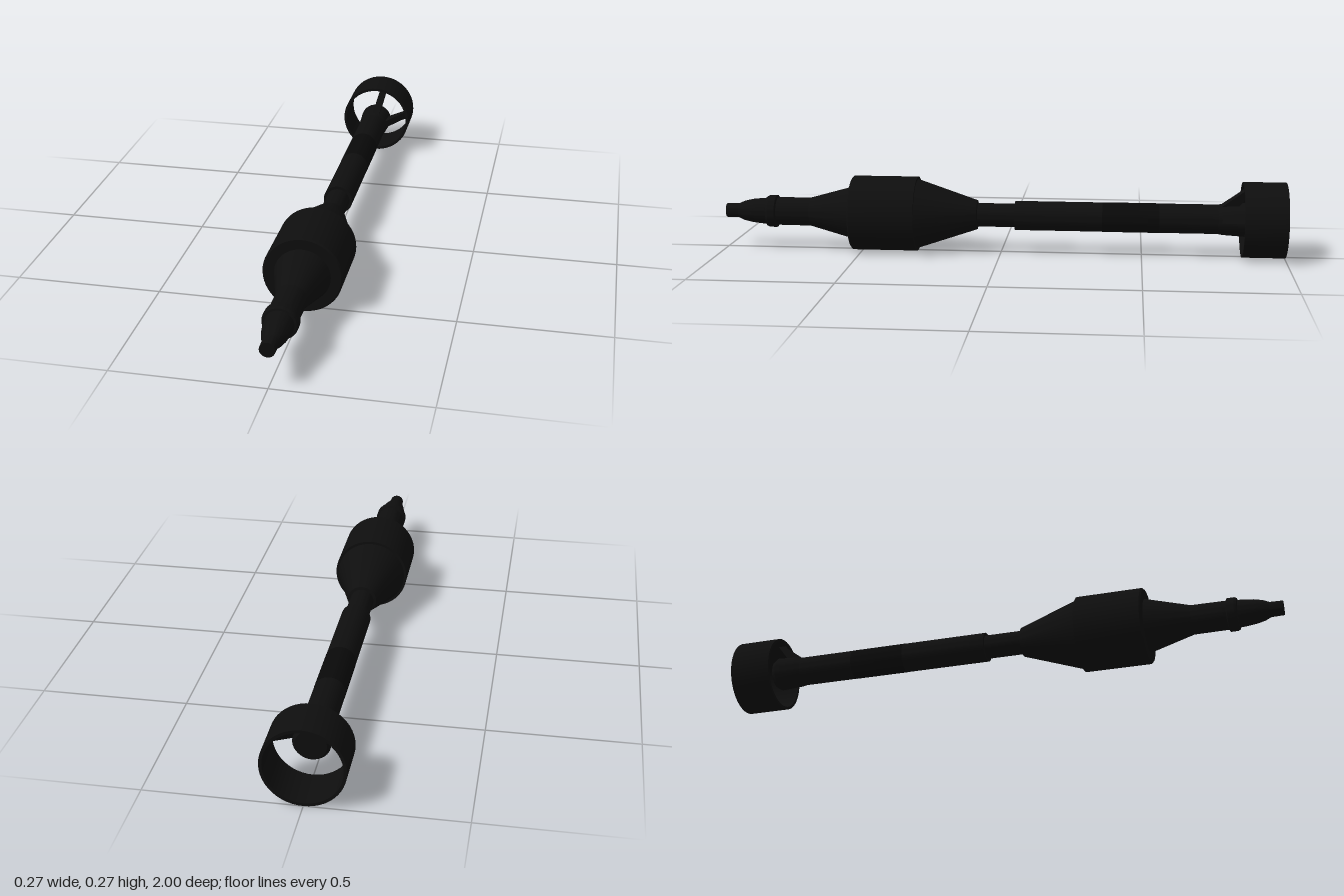
import * as THREE from 'three';
import { toCreasedNormals } from 'three/addons/utils/BufferGeometryUtils.js';

const AXIS_Y = 0.134;

export function createModel() {
  const model = new THREE.Group();
  model.name = 'finnedProjectile';
  const black = new THREE.MeshStandardMaterial({ color: 0x0e0e0e, side: THREE.DoubleSide });
  black.name = 'matteBlack';
  const deep = new THREE.MeshStandardMaterial({ color: 0x090909, side: THREE.DoubleSide });
  deep.name = 'deepBlack';

  const add = (name, geometry, material = black) => {
    const mesh = new THREE.Mesh(geometry, material);
    mesh.name = name;
    mesh.position.y = AXIS_Y;
    model.add(mesh);
  };

  // Turned part along z; profile is [radius, z] from back to front
  const turned = (name, profile, material) => {
    const points = profile.map(([r, z]) => new THREE.Vector2(r, z));
    const geometry = new THREE.LatheGeometry(points, 48).rotateX(Math.PI / 2);
    add(name, toCreasedNormals(geometry, 0.4), material);
  };

  // Nose and fuse collar
  turned('nose', [
    [0.048, 0.84], [0.046, 0.87], [0.042, 0.905], [0.035, 0.935],
    [0.026, 0.955], [0.025, 1], [0, 1],
  ]);
  turned('collar', [[0.048, 0.81], [0.058, 0.815], [0.058, 0.84], [0.054, 0.848], [0.046, 0.85]]);
  turned('neck', [[0.051, 0.685], [0.05, 0.82]]);

  // Wide body with a cone at each end
  turned('frontCone', [[0.094, 0.535], [0.051, 0.69]]);
  turned('body', [[0.12, 0.3], [0.133, 0.3], [0.133, 0.53], [0.128, 0.535], [0.09, 0.535]]);
  turned('rearCone', [[0.042, 0.083], [0.052, 0.085], [0.124, 0.3]]);

  // Tail tube
  turned('joint', [[0.042, -0.06], [0.042, 0.09]]);
  turned('tailTube', [[0.045, -0.78], [0.052, -0.78], [0.052, -0.05], [0.041, -0.05]]);
  turned('tubeBand', [[0.0525, -0.56], [0.0525, -0.36]], deep);
  turned('tailHub', [
    [0, -0.875], [0.05, -0.875], [0.06, -0.86], [0.055, -0.78], [0.052, -0.765],
  ]);

  // Open ring at the tail
  turned('tailRing', [
    [0.123, -0.85], [0.123, -1], [0.133, -1], [0.133, -0.85], [0.123, -0.85],
  ]);

  // Slanted struts joining the tube to the ring
  const outline = [[-0.77, 0.048], [-0.85, 0.11], [-0.86, 0.126], [-0.89, 0.126], [-0.83, 0.048]];
  const shape = new THREE.Shape(outline.map(([z, r]) => new THREE.Vector2(z, r)));
  for (const angle of [78, 10]) {
    const strut = new THREE.ExtrudeGeometry(shape, { depth: 0.026, bevelEnabled: false })
      .translate(0, 0, -0.013)
      .rotateY(-Math.PI / 2)
      .rotateZ(THREE.MathUtils.degToRad(angle - 90));
    add('tailStrut', strut);
  }

  return model;
}
